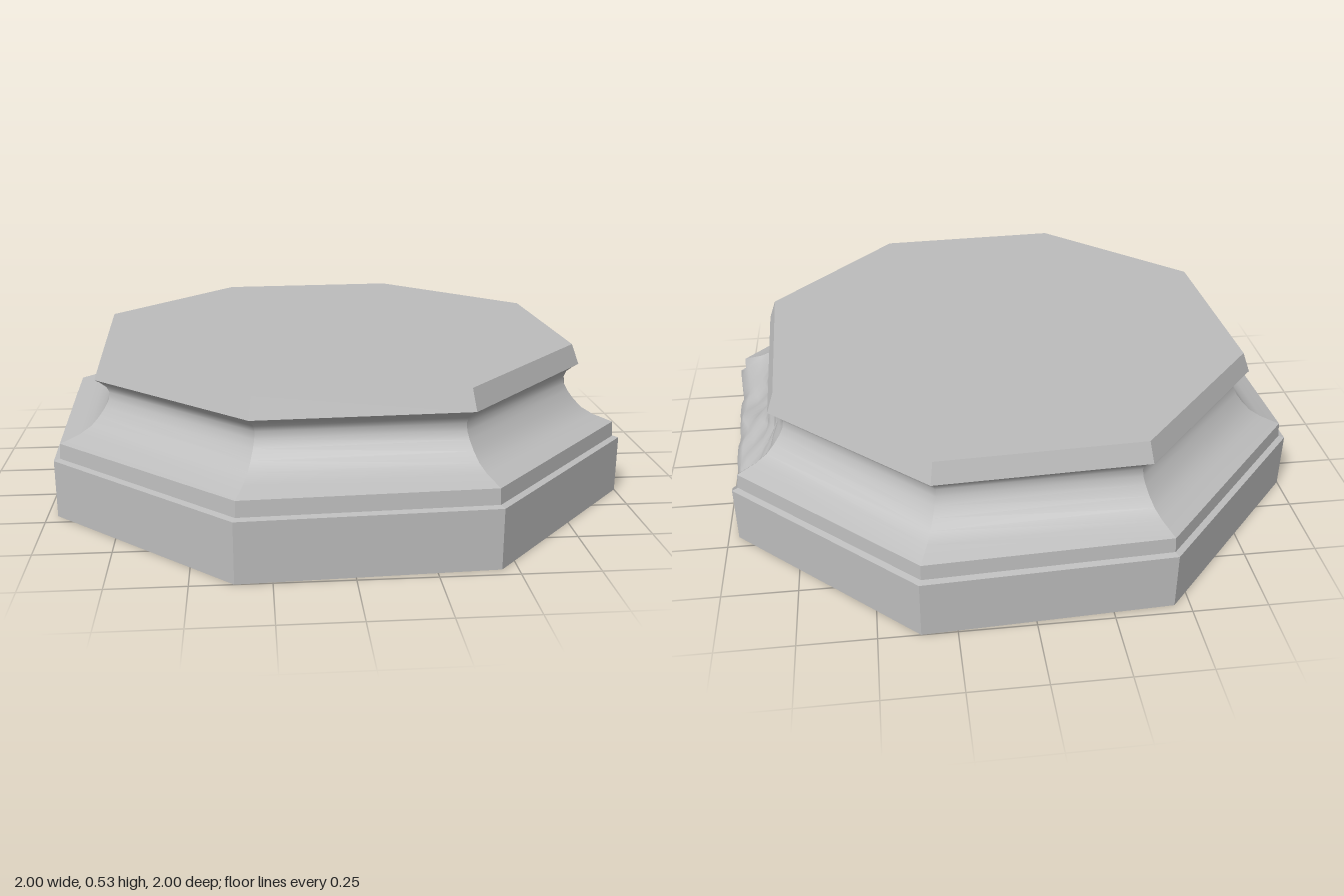
import * as THREE from 'three';

const SIDES = 8;
const TURN = THREE.MathUtils.degToRad(20.05);
const STEP = (Math.PI * 2) / SIDES;
const SCALE = 1 / Math.cos(TURN); // profile radii are given along x at the corner

// Moulding profile [radius, height], split into bands at the sharp edges
const bands = {
  plinth: [[1, 0], [1, 0.1], [1, 0.2]],
  plinthLedge: [[1, 0.2], [0.98, 0.205]],
  fillet: [[0.98, 0.205], [0.976, 0.257]],
  cove: [[0.976, 0.257], [0.91, 0.28], [0.872, 0.302], [0.845, 0.33], [0.823, 0.36],
    [0.81, 0.385], [0.806, 0.41], [0.815, 0.43], [0.835, 0.448], [0.853, 0.46]],
  topBevel: [[0.853, 0.46], [0.828, 0.53]],
};

// Whole profile below the lip, and the same points after the stone broke away
const intact = [...bands.plinth, bands.fillet[0], ...bands.cove];
const broken = [[1, 0], [1, 0.07], [0.998, 0.145], [0.975, 0.165], [0.945, 0.18], [0.9, 0.21],
  [0.873, 0.245], [0.855, 0.285], [0.842, 0.325], [0.834, 0.36], [0.83, 0.395], [0.828, 0.425],
  [0.832, 0.447], [0.853, 0.46]];

// Point on one flat side: u runs from corner to corner
function sidePoint(side, u, r, y) {
  const a = TURN + side * STEP, b = a + STEP, R = r * SCALE;
  return [
    THREE.MathUtils.lerp(Math.cos(a), Math.cos(b), u) * R, y,
    THREE.MathUtils.lerp(Math.sin(a), Math.sin(b), u) * R,
  ];
}

// Grid surface from point(i, j): i across the side, j up the profile
function grid(cols, rows, point) {
  const pos = [], index = [];
  for (let i = 0; i <= cols; i++) for (let j = 0; j <= rows; j++) pos.push(...point(i, j));
  for (let i = 0; i < cols; i++) for (let j = 0; j < rows; j++) {
    const a = i * (rows + 1) + j, b = a + rows + 1;
    index.push(a, a + 1, b + 1, a, b + 1, b);
  }
  const g = new THREE.BufferGeometry();
  g.setAttribute('position', new THREE.Float32BufferAttribute(pos, 3));
  g.setIndex(index);
  g.computeVertexNormals();
  return g;
}

function sideBand(side, profile) {
  return grid(1, profile.length - 1, (i, j) => sidePoint(side, i, ...profile[j]));
}

// Chipped side: the profile blends into the broken one away from the corners
function brokenSide(side) {
  const cols = 28, rows = intact.length - 1;
  return grid(cols, rows, (i, j) => {
    const u = i / cols;
    const w = THREE.MathUtils.smoothstep(u, 0, 0.13) * THREE.MathUtils.smoothstep(1 - u, 0, 0.09);
    const rough = j > 1 && j < rows ? w * Math.sin((Math.PI * j) / rows) : 0;
    const r = THREE.MathUtils.lerp(intact[j][0], broken[j][0], w)
      + rough * (0.014 * Math.sin(u * 17 + j * 0.9) + 0.008 * Math.sin(u * 31 - j * 1.7));
    const y = THREE.MathUtils.lerp(intact[j][1], broken[j][1], w)
      + rough * 0.014 * Math.sin(u * 11 + 1 + j * 0.4);
    return sidePoint(side, u, Math.min(r, 1), y);
  });
}

export function createModel() {
  const model = new THREE.Group();
  model.name = 'octagonalPedestal';
  const stone = new THREE.MeshStandardMaterial({ color: 0xbcbcbc });
  stone.name = 'grey stone';
  const add = (name, geometry) => {
    const mesh = new THREE.Mesh(geometry, stone);
    mesh.name = name;
    model.add(mesh);
    return mesh;
  };

  // Moulded sides, the last one damaged
  const damaged = SIDES - 1;
  for (let s = 0; s < SIDES; s++) {
    for (const [name, profile] of Object.entries(bands)) {
      if (s === damaged && name !== 'topBevel') continue;
      add(name + (s + 1), sideBand(s, profile));
    }
  }
  add('brokenSide', brokenSide(damaged));

  // Flat top and underside
  const top = new THREE.CircleGeometry(0.828 * SCALE, SIDES, -TURN).rotateX(-Math.PI / 2);
  add('topFace', top).position.y = 0.53;
  add('underside', new THREE.CircleGeometry(SCALE, SIDES, TURN).rotateX(Math.PI / 2));
  return model;
}
